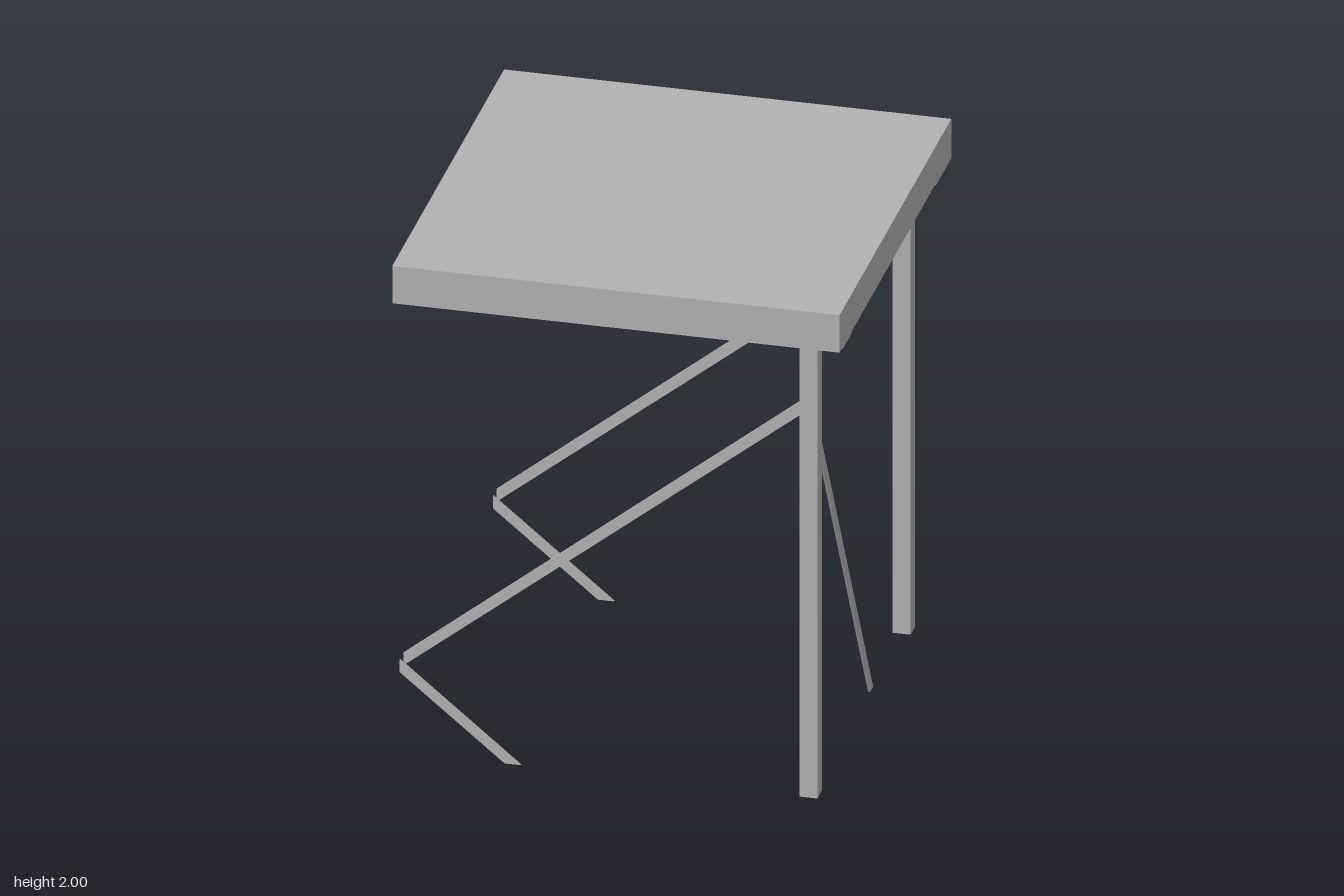
import * as THREE from 'three';

const steel = new THREE.MeshStandardMaterial({ color: 0xb2b2b2 });
steel.name = 'grey steel';

export function createModel() {
  const model = new THREE.Group();
  model.name = 'braced platform';

  const add = (name, geometry) => {
    const mesh = new THREE.Mesh(geometry, steel);
    mesh.name = name;
    model.add(mesh);
    return mesh;
  };

  // Box given by its limits on each axis
  const block = (name, [x0, x1], [y0, y1], [z0, z1]) => {
    const mesh = add(name, new THREE.BoxGeometry(x1 - x0, y1 - y0, z1 - z0));
    mesh.position.set((x0 + x1) / 2, (y0 + y1) / 2, (z0 + z1) / 2);
    return mesh;
  };

  // Thin flat bar cut from an outline
  const T = 0.008;
  const flatBar = (name, points) => {
    const shape = new THREE.Shape(points.map(([a, b]) => new THREE.Vector2(a, b)));
    const geometry = new THREE.ExtrudeGeometry(shape, { depth: T, bevelEnabled: false });
    geometry.translate(0, 0, -T / 2);
    return add(name, geometry);
  };

  // Deck sheet
  block('deck', [-0.83, 0.83], [1.97, 2], [-0.825, 0.83]);

  // Edge channels: upright web with a bottom flange turned inward
  block('frontWeb', [-0.83, 0.83], [1.85, 1.97], [0.82, 0.83]);
  block('frontFlange', [-0.83, 0.82], [1.85, 1.858], [0.75, 0.82]);
  block('rightWeb', [0.82, 0.83], [1.85, 1.97], [-0.825, 0.82]);
  block('rightFlange', [0.75, 0.82], [1.85, 1.858], [-0.825, 0.75]);
  block('backWeb', [-0.83, 0.82], [1.85, 1.95], [-0.822, -0.812]);
  block('backTopFlange', [-0.83, 0.82], [1.942, 1.95], [-0.812, -0.75]);
  block('backFlange', [-0.83, 0.75], [1.85, 1.858], [-0.812, -0.74]);
  block('backSpacer', [-0.83, 0.82], [1.95, 1.97], [-0.80, -0.76]);

  // Open channel on the free side and the middle joist
  for (const [name, x] of [['sideJoist', -0.76], ['middleJoist', 0.12]]) {
    block(name + 'Web', [x - 0.005, x + 0.005], [1.87, 1.97], [-0.8, 0.8]);
    block(name + 'Flange', [x - 0.05, x - 0.005], [1.87, 1.878], [-0.8, 0.8]);
    block(name + 'TopFlange', [x - 0.05, x - 0.005], [1.955, 1.963], [-0.8, 0.8]);
  }

  // Small cleats below the edges
  for (const z of [-0.33, 0.34]) {
    block('sideCleat', [0.74, 0.825], [1.84, 1.85], [z - 0.04, z + 0.04]);
  }
  block('backCleat', [-0.54, -0.46], [1.84, 1.85], [-0.83, -0.74]);

  // Hollow square legs with cap and seat plates
  const a = 0.0335, b = 0.0285;
  const tube = new THREE.Shape([[-a, -a], [a, -a], [a, a], [-a, a]].map(p => new THREE.Vector2(...p)));
  tube.holes.push(new THREE.Path([[-b, -b], [-b, b], [b, b], [b, -b]].map(p => new THREE.Vector2(...p))));
  for (const side of [-1, 1]) {
    const z = side > 0 ? 0.693 : -0.687;
    const leg = add('leg', new THREE.ExtrudeGeometry(tube, { depth: 1.835, bevelEnabled: false }));
    leg.rotation.x = -Math.PI / 2;
    leg.position.set(0.688, 0, z);
    const cap = side > 0 ? [0.65, 0.78] : [-0.74, -0.6];
    block('legCap', [0.65, 0.745], [1.832, 1.842], cap);
    block('seatPlate', [0.65, 0.83], [1.842, 1.85], side > 0 ? [0.65, 0.78] : [-0.83, -0.6]);

    // Long sloping bar and the returning foot bar beside it
    flatBar('longBrace', [[-0.83, 0.32], [0.655, 1.51], [0.655, 1.565], [-0.83, 0.37]])
      .position.z = z - 0.03;
    flatBar('footBrace', [[-0.83, 0.32], [-0.44, 0], [-0.38, 0], [-0.83, 0.37]])
      .position.z = z + 0.025;
  }

  // Bar running backward from the front leg; outline is in (-z, y)
  const cross = flatBar('crossBrace', [[-0.66, 1.46], [0.165, 0], [0.21, 0], [-0.66, 1.54]]);
  cross.rotation.y = Math.PI / 2;
  cross.position.x = 0.69;

  return model;
}
